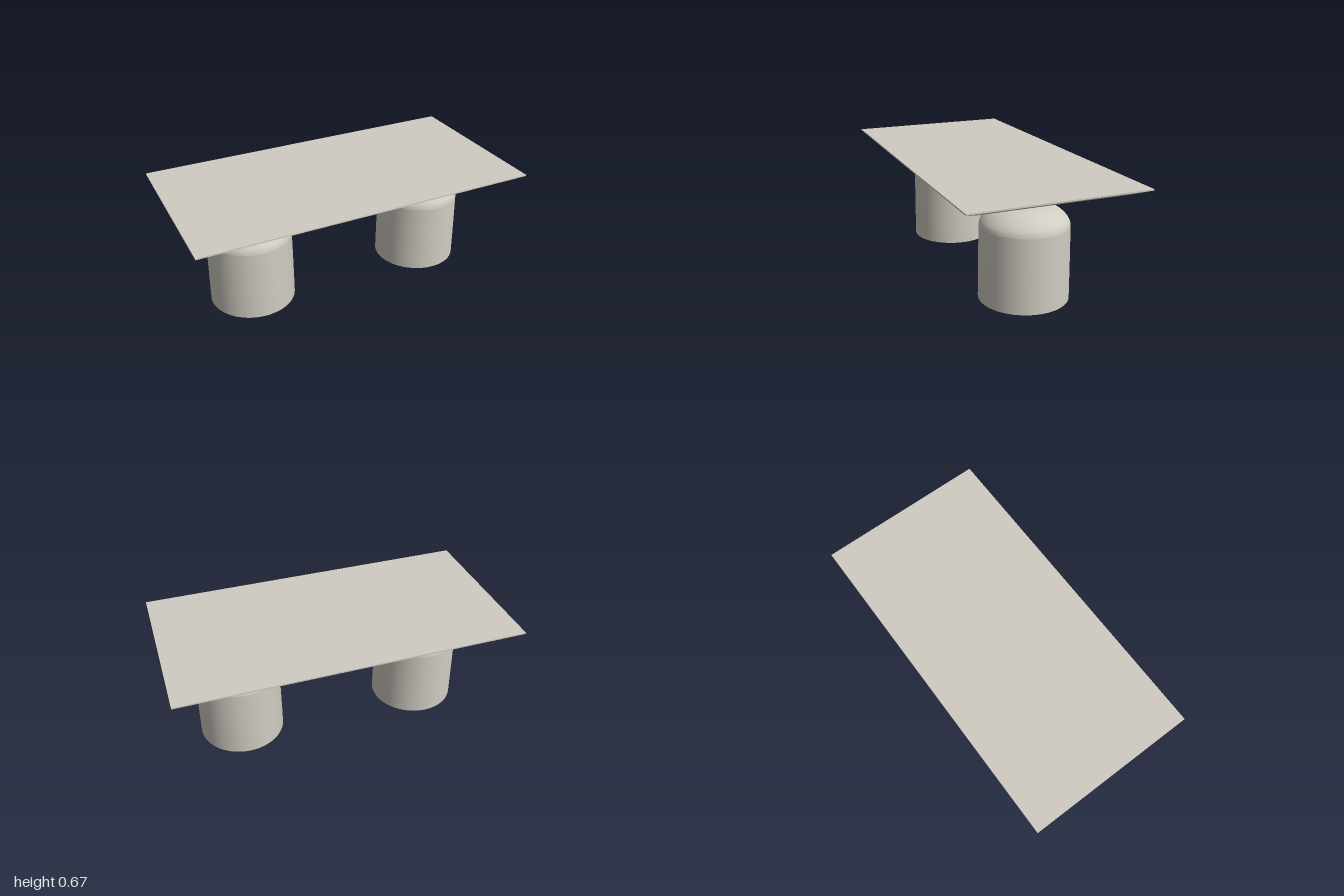
import * as THREE from 'three';

const stone = new THREE.MeshStandardMaterial({ color: 0xd0ccc2 });
stone.name = 'warm stone';

// Turned solid from a smooth [radius, height] curve, with sharp flat ends
function turned(name, curve, start = [], end = []) {
  const group = new THREE.Group();
  group.name = name;
  const v = (p) => new THREE.Vector2(p[0], p[1]);
  const smooth = new THREE.SplineCurve(curve.map(v)).getPoints(24);
  for (const pts of [start.map(v), smooth, end.map(v)]) {
    if (pts.length < 2) continue;
    const mesh = new THREE.Mesh(new THREE.LatheGeometry(pts, 64), stone);
    mesh.name = name + 'Surface';
    group.add(mesh);
  }
  return group;
}

// Slab with a thin upright rim and a bevelled underside
function makeTop() {
  const box = new THREE.BoxGeometry(2, 1, 1.01, 1, 2, 1);
  const pos = box.attributes.position;
  for (let i = 0; i < pos.count; i++) {
    const y = pos.getY(i);
    if (y < -0.1) {
      pos.setX(i, Math.sign(pos.getX(i)) * 0.92);
      pos.setZ(i, Math.sign(pos.getZ(i)) * 0.424);
    }
    pos.setY(i, y > 0.1 ? 0.671 : y < -0.1 ? 0.629 : 0.663);
  }
  const geometry = box.toNonIndexed();
  geometry.computeVertexNormals();
  const mesh = new THREE.Mesh(geometry, stone);
  mesh.name = 'tabletop';
  return mesh;
}

export function createModel() {
  const model = new THREE.Group();
  model.name = 'table';
  model.add(makeTop());

  // Two pedestals: domed drum below, shallow bowl above
  for (const [side, x] of [['right', -0.56], ['left', 0.575]]) {
    const pedestal = new THREE.Group();
    pedestal.name = side + 'Pedestal';
    pedestal.position.set(x, 0, 0.003);
    pedestal.add(
      turned('drum',
        [[0.252, 0], [0.25, 0.2], [0.247, 0.4], [0.246, 0.425], [0.239, 0.448], [0.22, 0.473],
          [0.187, 0.5], [0.135, 0.524], [0.065, 0.538], [0, 0.54]],
        [[0, 0], [0.252, 0]]),
      turned('bowl',
        [[0, 0.538], [0.05, 0.54], [0.11, 0.551], [0.16, 0.569], [0.2, 0.591], [0.224, 0.613], [0.237, 0.63]],
        [], [[0.237, 0.63], [0, 0.63]])
    );
    model.add(pedestal);
  }
  return model;
}
